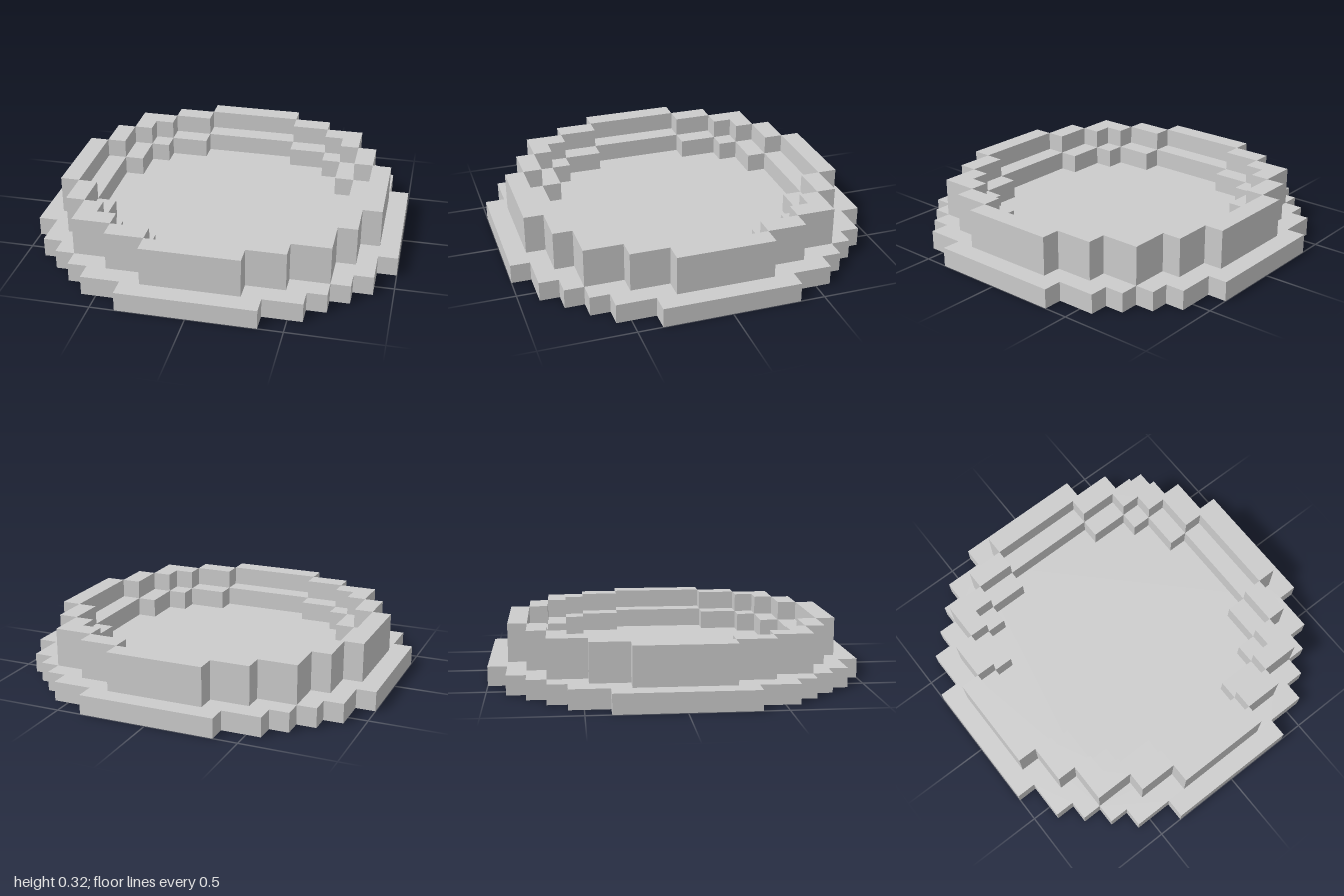
import * as THREE from 'three';

const U = 2 / 19; // one block

// Stepped outlines: [half width, half depth] of each row, in blocks
const PLATE = [[3.5, 9.5], [5.5, 8.5], [6.5, 7.5], [7.5, 6.5], [8.5, 5.5], [9.5, 3.5]];
const WALL_OUTER = [[2.5, 8.5], [4.5, 7.5], [6.5, 6.5], [7.5, 4.5], [8.5, 2.5]];
const WALL_INNER = [[2.5, 7.5], [4.5, 6.5], [5.5, 5.5], [6.5, 4.5], [7.5, 2.5]];
const FLOOR = [[2.5, 6.5], [4.5, 5.5], [5.5, 4.5], [6.5, 2.5]];

// Closed counter-clockwise staircase outline, mirrored into all four quadrants
function outline(rows) {
  const quarter = [];
  rows.forEach(([x, z], i) => {
    quarter.push([x, z]);
    if (i < rows.length - 1) quarter.push([x, rows[i + 1][1]]);
  });
  const reversed = [...quarter].reverse();
  const place = (list, sx, sz) => list.map(([x, z]) => new THREE.Vector2(x * sx * U, z * sz * U));
  return [
    ...place(reversed, 1, 1),
    ...place(quarter, -1, 1),
    ...place(reversed, -1, -1),
    ...place(quarter, 1, -1),
  ];
}

export function createModel() {
  const group = new THREE.Group();
  const material = new THREE.MeshStandardMaterial({ color: 0xcccccc, flatShading: true });

  // Upright slab from an outline, with an optional stepped opening
  function slab(name, outer, inner, bottom, height) {
    const shape = new THREE.Shape(outline(outer));
    if (inner) shape.holes.push(new THREE.Path(outline(inner).reverse()));
    const geometry = new THREE.ExtrudeGeometry(shape, { depth: height * U, bevelEnabled: false });
    geometry.rotateX(-Math.PI / 2);
    const mesh = new THREE.Mesh(geometry, material);
    mesh.name = name;
    mesh.position.y = bottom * U;
    group.add(mesh);
  }

  slab('basePlate', PLATE, null, 0, 1);
  slab('outerWall', WALL_OUTER, WALL_INNER, 1, 2);
  slab('innerStep', WALL_INNER, FLOOR, 1, 1);

  return group;
}
